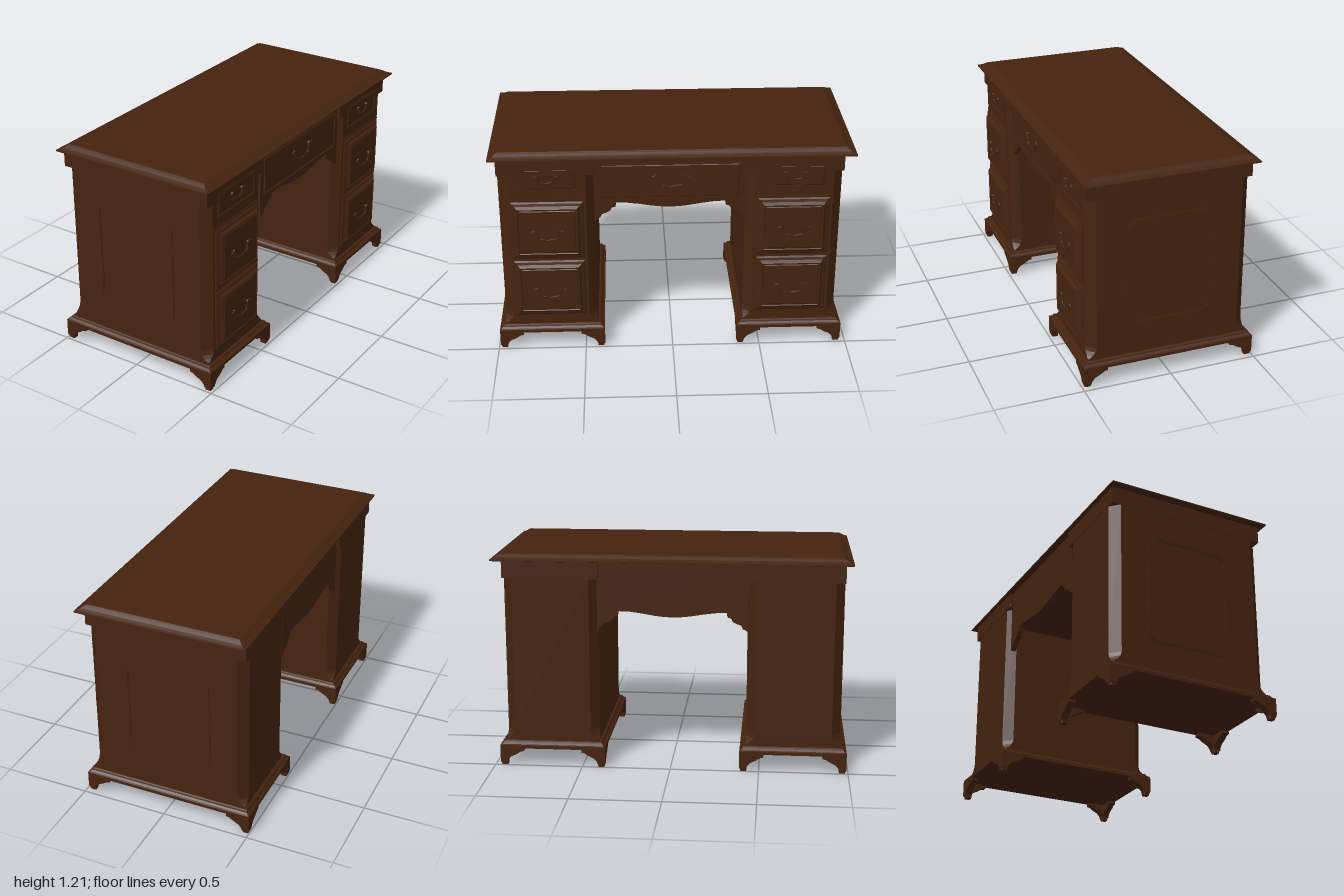
import * as THREE from 'three';

const wood = new THREE.MeshStandardMaterial({ color: 0x45230f });
wood.name = 'dark wood';

function add(parent, geometry, name, x = 0, y = 0, z = 0) {
  const mesh = new THREE.Mesh(geometry, wood);
  mesh.name = name;
  mesh.position.set(x, y, z);
  parent.add(mesh);
  return mesh;
}

const box = (w, h, d) => new THREE.BoxGeometry(w, h, d);

// Rectangle with cut corners at height y, counter-clockwise from above
function ring([y, hx, hz, cut = 0.0005]) {
  return [
    [hx, hz - cut], [hx, -hz + cut], [hx - cut, -hz], [-hx + cut, -hz],
    [-hx, -hz + cut], [-hx, hz - cut], [-hx + cut, hz], [hx - cut, hz],
  ].map(([x, z]) => [x, y, z]);
}

// Closed solid through a stack of rings, each [y, halfX, halfZ, cornerCut]
function loft(levels) {
  const rings = levels.map(ring), pos = [], n = 8;
  const tri = (...pts) => pts.forEach((p) => pos.push(...p));
  for (let k = 0; k + 1 < rings.length; k++) {
    const a = rings[k], b = rings[k + 1];
    for (let i = 0; i < n; i++) {
      const j = (i + 1) % n;
      tri(a[i], a[j], b[j]);
      tri(a[i], b[j], b[i]);
    }
  }
  const bottom = rings[0], top = rings[rings.length - 1];
  for (let i = 1; i + 1 < n; i++) {
    tri(bottom[0], bottom[i + 1], bottom[i]);
    tri(top[0], top[i], top[i + 1]);
  }
  const g = new THREE.BufferGeometry();
  g.setAttribute('position', new THREE.Float32BufferAttribute(pos, 3));
  g.computeVertexNormals();
  return g;
}

const shapeOf = (pts) => new THREE.Shape(pts.map(([x, y]) => new THREE.Vector2(x, y)));
const extrude = (shape, depth) => new THREE.ExtrudeGeometry(shape, { depth, bevelEnabled: false });

// Panel whose face points to +x: levels of [depth, inset]
const facePanel = (h, w, levels) =>
  loft(levels.map(([d, inset]) => [d, h / 2 - inset, w / 2 - inset])).rotateZ(-Math.PI / 2);

// Swan-neck drawer pull on the +x face
function addPull(parent, x, y, z, half, drop) {
  const pull = new THREE.Group();
  pull.name = 'drawerPull';
  pull.position.set(x, y, z);
  const side = [[-1, -0.08], [-0.78, 0], [-0.7, -0.35], [-0.6, -0.85], [-0.3, -0.95]];
  const path = [...side, [0, -1.05], ...side.map(([u, v]) => [-u, v]).reverse()]
    .map(([u, v]) => new THREE.Vector3(0.004, v * drop, u * half));
  add(pull, new THREE.TubeGeometry(new THREE.CatmullRomCurve3(path), 40, 0.005, 6), 'bail');
  for (const s of [-1, 1]) {
    add(pull, new THREE.CylinderGeometry(0.008, 0.01, 0.012, 10).rotateZ(-Math.PI / 2), 'pullPost', 0.003, -0.002, s * half * 0.78);
    add(pull, new THREE.SphereGeometry(0.007, 8, 6), 'pullTip', 0.004, -drop * 0.08, s * half);
  }
  parent.add(pull);
}

// Thin raised bead around a flat drawer front
function addBeadedDrawer(parent, name, x, y, z, h, w, bead) {
  add(parent, facePanel(h - 0.02, w - 0.02, [[0, 0], [0.004, 0.004]]), name, x, y, z);
  for (const s of [-1, 1]) {
    add(parent, box(0.014, bead, w), 'drawerBead', x, y + s * (h - bead) / 2, z);
    add(parent, box(0.014, h, bead), 'drawerBead', x, y, z + s * (w - bead) / 2);
  }
}

// Bracket foot: two mitred side plates and a pad, outer corner at the origin
function makeFoot() {
  const foot = new THREE.Group();
  foot.name = 'bracketFoot';
  const profile = [[0, 0.1], [0, 0.03], [0.005, 0.015], [0.04, 0.015], [0.046, 0.032],
    [0.062, 0.05], [0.095, 0.066], [0.115, 0.08], [0.135, 0.084], [0.135, 0.1]];
  const front = extrude(shapeOf(profile.map(([u, y]) => [-u, y]).reverse()), 0.04);
  const side = extrude(shapeOf(profile), 0.04).rotateY(Math.PI / 2);
  add(foot, front, 'footPlate', 0, 0, -0.04);
  add(foot, side, 'footPlate', -0.04, 0, 0);
  add(foot, loft([[0, 0.017, 0.017, 0.004], [0.02, 0.019, 0.019, 0.004]]), 'footPad', -0.023, 0, -0.023);
  return foot;
}

function makePedestal(end) {
  const p = new THREE.Group();
  p.name = 'pedestal';
  p.position.set(-0.005, 0, end * 0.68);

  // Carcass with cut corners that run out above the base and stop under square blocks
  add(p, loft([
    [0.13, 0.46, 0.265], [0.15, 0.46, 0.265, 0.006], [0.165, 0.46, 0.265, 0.025],
    [0.185, 0.46, 0.265, 0.042], [0.21, 0.46, 0.265, 0.05], [1.08, 0.46, 0.265, 0.05],
    [1.08, 0.463, 0.268], [1.185, 0.463, 0.268],
  ]), 'carcass');

  // Stepped base moulding
  add(p, loft([
    [0.1, 0.495, 0.3], [0.118, 0.495, 0.3], [0.122, 0.487, 0.292],
    [0.13, 0.478, 0.283], [0.138, 0.475, 0.28], [0.142, 0.468, 0.273],
  ]), 'baseMoulding');

  // Feet at the four corners
  [[1, 1], [1, -1], [-1, -1], [-1, 1]].forEach(([sx, sz], i) => {
    const foot = makeFoot();
    foot.position.set(sx * 0.495, 0, sz * 0.3);
    foot.rotation.y = i * Math.PI / 2;
    p.add(foot);
  });

  // Two deep drawers with raised and fielded fronts
  for (const y of [0.38, 0.747]) {
    add(p, facePanel(0.35, 0.4, [
      [0, 0], [0.006, 0], [0.012, 0.008], [0.016, 0.022], [0.027, 0.032],
      [0.03, 0.036], [0.026, 0.04], [0.026, 0.046], [0.029, 0.05],
    ]), 'deepDrawer', 0.46, y, 0);
    addPull(p, 0.49, y + 0.008, 0, 0.085, 0.055);
  }
  add(p, box(0.008, 0.01, 0.42), 'drawerRail', 0.461, 0.563, 0);
  add(p, box(0.008, 0.01, 0.42), 'drawerRail', 0.461, 0.928, 0);

  // Shallow top drawer
  addBeadedDrawer(p, 'topDrawer', 0.46, 1.055, 0, 0.135, 0.34, 0.007);
  addPull(p, 0.466, 1.078, 0, 0.058, 0.042);

  // Octagonal moulding on the outer end
  const octagon = (hw, hh, c) => [[-hw + c, -hh], [hw - c, -hh], [hw, -hh + c], [hw, hh - c],
    [hw - c, hh], [-hw + c, hh], [-hw, hh - c], [-hw, -hh + c]];
  for (const [outer, inner, depth] of [[0, 0.028, 0.004], [0.006, 0.022, 0.008]]) {
    const frame = shapeOf(octagon(0.252 - outer, 0.317 - outer, 0.042));
    frame.holes.push(shapeOf(octagon(0.252 - inner, 0.317 - inner, 0.036)));
    const g = extrude(frame, depth).translate(0, 0, 0.265);
    if (end < 0) g.rotateY(Math.PI);
    add(p, g, 'endPanelMoulding', -0.007, 0.623, 0);
  }
  return p;
}

// Shaped rail with scrolled brackets over the knee space
function apronGeometry() {
  const half = [[0.42, 0.79], [0.405, 0.805], [0.39, 0.81], [0.38, 0.83], [0.355, 0.84],
    [0.335, 0.85], [0.325, 0.87], [0.305, 0.875], [0.3, 0.9], [0.25, 0.9], [0.18, 0.891], [0.1, 0.878], [0.05, 0.872]];
  const pts = [[0.42, 1.18], [-0.42, 1.18], ...half.map(([u, y]) => [-u, y]), [0, 0.87], ...half.slice().reverse()];
  return extrude(shapeOf(pts), 0.03).translate(0, 0, -0.015).rotateY(-Math.PI / 2);
}

export function createModel() {
  const desk = new THREE.Group();
  desk.name = 'pedestalDesk';

  // Moulded top
  add(desk, loft([
    [1.175, 0.475, 0.985], [1.178, 0.487, 1], [1.185, 0.487, 1], [1.189, 0.475, 0.988],
    [1.196, 0.46, 0.973], [1.206, 0.445, 0.958], [1.212, 0.435, 0.948], [1.214, 0.425, 0.938],
  ]), 'deskTop');

  const under = new THREE.Group();
  under.name = 'underframe';
  under.position.z = 0.01;
  desk.add(under);
  for (const end of [-1, 1]) under.add(makePedestal(end));

  // Knee space: drawer housing, front and back aprons, wide drawer
  add(under, box(0.84, 0.23, 0.84), 'drawerHousing', 0, 1.065, 0);
  add(under, apronGeometry(), 'frontApron', 0.425, 0, 0);
  add(under, apronGeometry(), 'backApron', -0.435, 0, 0);
  addBeadedDrawer(under, 'centreDrawer', 0.44, 1.028, 0, 0.215, 0.77, 0.008);
  addPull(under, 0.446, 1.062, 0, 0.1, 0.063);
  return desk;
}
